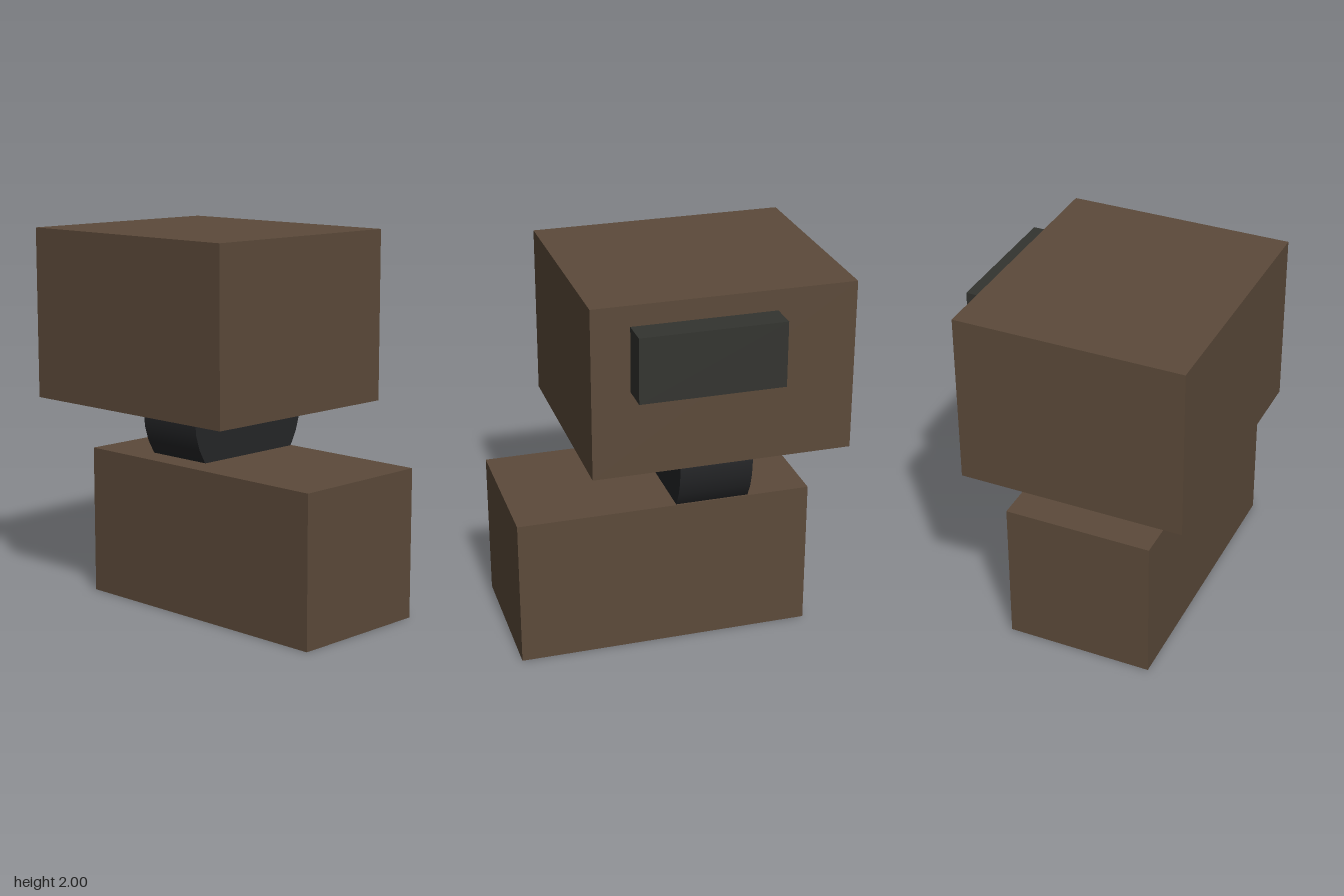
import * as THREE from 'three';

const mat = (color) => new THREE.MeshStandardMaterial({ color });

export function createModel() {
  const model = new THREE.Group();
  const brown = mat(0x5c4a3a), dark = mat(0x252628), slate = mat(0x333430);

  // Box given by its lowest and highest corners
  const box = (name, material, [x0, y0, z0], [x1, y1, z1]) => {
    const mesh = new THREE.Mesh(new THREE.BoxGeometry(x1 - x0, y1 - y0, z1 - z0), material);
    mesh.position.set((x0 + x1) / 2, (y0 + y1) / 2, (z0 + z1) / 2);
    mesh.name = name;
    model.add(mesh);
  };

  box('base', brown, [-0.435, 0, -0.705], [0.365, 0.8, 0.865]);
  box('upperBlock', brown, [-0.675, 1.09, -0.865], [0.52, 2, 0.505]);
  box('sidePanel', slate, [0.52, 1.545, -0.45], [0.672, 1.89, 0.305]);

  // Round joint between the blocks, its axis running front to back
  const joint = new THREE.Mesh(new THREE.CylinderGeometry(0.4, 0.4, 0.39, 32), dark);
  joint.rotation.x = Math.PI / 2;
  joint.position.set(0.03, 1.03, -0.175);
  joint.name = 'joint';
  model.add(joint);

  return model;
}
